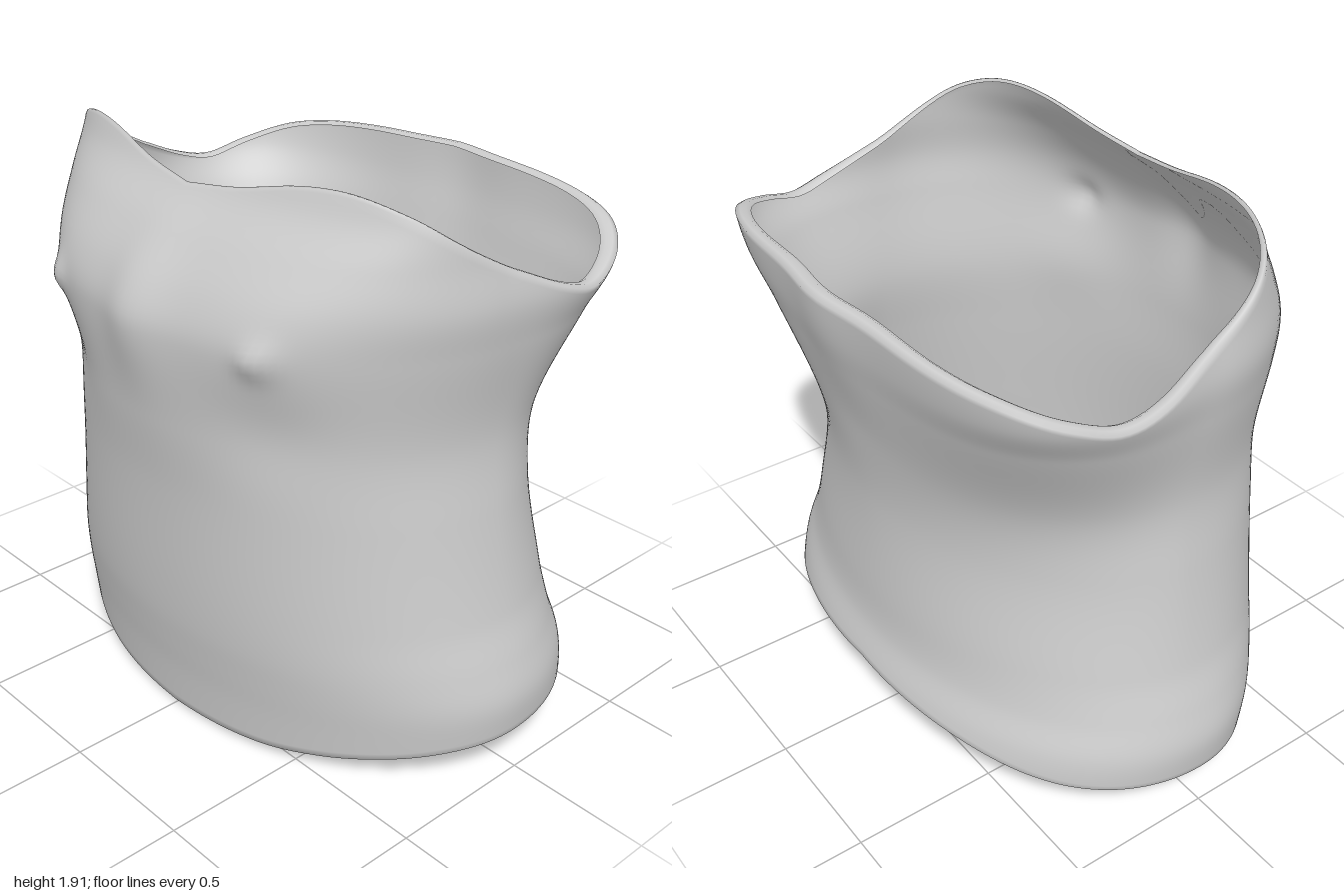
import * as THREE from 'three';

const { lerp, smoothstep } = THREE.MathUtils;

// Smooth interpolation through rows [key, v1, v2, ...]; returns the values at k
function spline(rows) {
  const slope = (i, c) => {
    const a = rows[Math.max(i - 1, 0)], b = rows[Math.min(i + 1, rows.length - 1)];
    return (b[c] - a[c]) / (b[0] - a[0]);
  };
  return (k) => {
    k = Math.min(Math.max(k, rows[0][0]), rows[rows.length - 1][0]);
    let i = 0;
    while (i < rows.length - 2 && k > rows[i + 1][0]) i++;
    const p = rows[i], q = rows[i + 1], h = q[0] - p[0], s = (k - p[0]) / h;
    const s2 = s * s, s3 = s2 * s;
    return p.slice(1).map((v, n) =>
      (2 * s3 - 3 * s2 + 1) * v + (s3 - 2 * s2 + s) * h * slope(i, n + 1) +
      (3 * s2 - 2 * s3) * q[n + 1] + (s3 - s2) * h * slope(i + 1, n + 1));
  };
}

// Heights of the two hems; key runs 0 (front) to 1 (back)
const topHem = spline([
  [0, 1.82], [0.073, 1.845], [0.16, 1.895], [0.22, 1.9], [0.29, 1.86], [0.37, 1.79], [0.5, 1.67],
  [0.584, 1.59], [0.643, 1.56], [0.7, 1.6], [0.775, 1.665], [0.88, 1.7], [1, 1.71],
]);
const bottomHem = spline([
  [0, 0.018], [0.13, 0.035], [0.205, 0.065], [0.295, 0.105], [0.4, 0.14],
  [0.55, 0.16], [0.7, 0.18], [0.855, 0.24], [1, 0.27],
]);

// Body sections: height, half width front/back, depth front/back, squareness front/back
const section = spline([
  [0, 0.97, 0.98, 0.6, 0.7, 2, 2.1],
  [0.17, 0.995, 1, 0.615, 0.7, 2, 2.1],
  [0.28, 1, 1, 0.63, 0.675, 2, 2.1],
  [0.4, 0.97, 0.97, 0.645, 0.635, 2.05, 2.05],
  [0.55, 0.925, 0.925, 0.655, 0.62, 2.1, 2],
  [0.9, 0.865, 0.865, 0.67, 0.6, 2.1, 1.87],
  [1.15, 0.84, 0.84, 0.695, 0.625, 2.05, 2.05],
  [1.45, 0.885, 0.91, 0.71, 0.68, 2.05, 2.8],
  [1.58, 0.9, 0.95, 0.665, 0.705, 2.2, 3.3],
  [1.72, 0.88, 0.95, 0.57, 0.72, 2.5, 3.6],
  [1.83, 0.87, 0.95, 0.475, 0.72, 2.8, 3.6],
  [1.91, 0.86, 0.95, 0.43, 0.72, 3, 3.6],
]);

const bump = (dx, dy, r) => Math.exp(-(dx * dx + dy * dy) / (r * r));

function bodyPoint(angle, y) {
  const s = Math.sin(angle), c = Math.cos(angle);
  const [wf, wb, df, db, nf, nb] = section(y);
  const n = c > 0 ? nf : nb;
  const r = Math.pow(Math.abs(s) ** n + Math.abs(c) ** n, -1 / n);
  const width = lerp(wf, wb, smoothstep(-c, -0.1, 0.5));
  const x = width * r * s;
  let z = (c > 0 ? df : db) * r * c;
  if (c > 0) {
    // bust shaping, a shallow hollow beneath it and a soft ridge down the middle
    const ax = Math.abs(x) - 0.48;
    z += 0.03 * bump(ax, y - 1.45, 0.055) + 0.025 * bump(ax, y - 1.47, 0.2);
    z -= 0.015 * bump(ax, y - 1.2, 0.15);
    z += 0.035 * bump(x / 0.12, (y - 1.51) / 0.2, 1);
  } else {
    // raised centre of the upper back
    z -= 0.03 * Math.exp(-((x / 0.17) ** 2)) * smoothstep(y, 1.2, 1.65);
  }
  return new THREE.Vector3(x, y, z);
}

// Moves a hem point towards the middle and up or down, to turn the edge inward
function turnIn(p, inset, dy) {
  const l = Math.hypot(p.x, p.z);
  return new THREE.Vector3(p.x * (1 - inset / l), p.y + dy, p.z * (1 - inset / l));
}

// Closed skin through loops of points, listed from bottom to top
function loft(loops) {
  const cols = loops[0].length, index = [];
  for (let j = 0; j < loops.length - 1; j++) {
    for (let i = 0; i < cols; i++) {
      const a = j * cols + i, b = j * cols + (i + 1) % cols;
      index.push(a, b, b + cols, a, b + cols, a + cols);
    }
  }
  const geometry = new THREE.BufferGeometry().setFromPoints(loops.flat());
  geometry.setIndex(index);
  geometry.computeVertexNormals();
  return geometry;
}

export function createModel() {
  const COLS = 192, ROWS = 80;
  const angles = Array.from({ length: COLS }, (_, i) => (i / COLS) * Math.PI * 2);
  const around = (a) => 1 - Math.abs(1 - a / Math.PI);
  const ring = (v) => angles.map((a) => {
    const u = around(a);
    return bodyPoint(a, lerp(bottomHem(u)[0], topHem(u)[0], v));
  });
  const loops = [];
  for (let j = 0; j <= ROWS; j++) loops.push(ring(j / ROWS));

  // turned-in hems: the lower one is widest at the front, the upper one at the back
  const low = loops[0], high = loops[ROWS];
  const lowWidth = (p) => lerp(0.035, 0.08, smoothstep(p.z, 0.1, 0.6));
  const highWidth = (p) => lerp(0.055, 0.02, smoothstep(p.z, -0.3, 0.4));
  const lowLip = [[1, -0.004], [0.7, -0.01], [0.3, -0.01]]
    .map(([d, h]) => low.map((p) => turnIn(p, d * lowWidth(p), h)));
  const highLip = [[0.3, 0.01], [0.7, 0.012], [1, 0.002]]
    .map(([d, h]) => high.map((p) => turnIn(p, d * highWidth(p), h)));

  const material = new THREE.MeshStandardMaterial({ color: 0xcccccc, side: THREE.DoubleSide });
  const bodice = new THREE.Mesh(loft([...lowLip, ...loops, ...highLip]), material);
  bodice.name = 'bodice';

  const group = new THREE.Group();
  group.name = 'straplessTop';
  group.add(bodice);
  return group;
}
